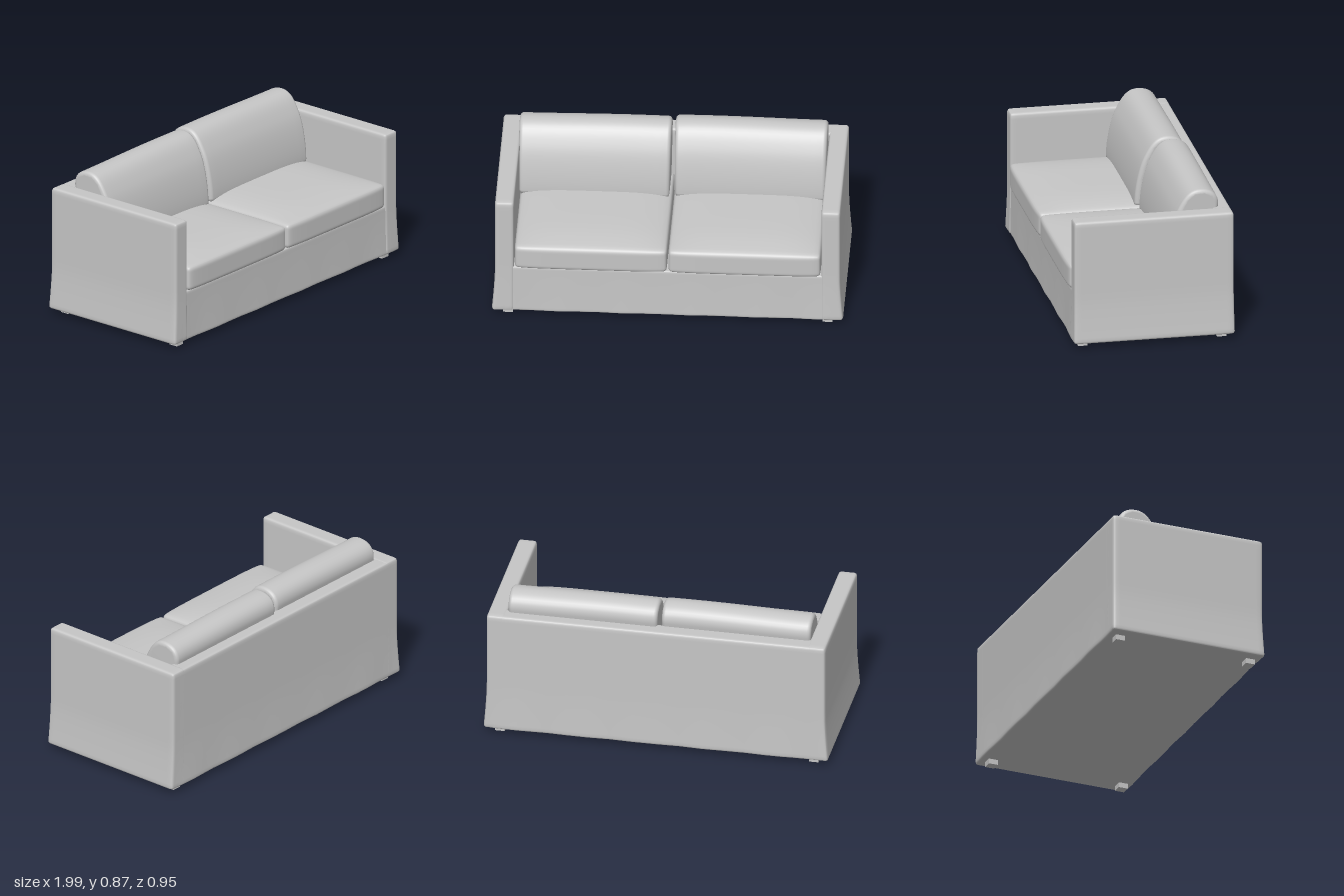
import * as THREE from 'three';
import { mergeVertices } from 'three/addons/utils/BufferGeometryUtils.js';

const fabric = new THREE.MeshStandardMaterial({ name: 'grey fabric', color: 0xc6c6c6 });

// Weld the vertices and smooth the normals.
function smooth(geometry) {
  geometry.deleteAttribute('normal');
  geometry.deleteAttribute('uv');
  const welded = mergeVertices(geometry, 1e-4);
  welded.computeVertexNormals();
  return welded;
}

// Box with rounded edges between two corners, then reshaped by a rule on each vertex.
function softBox(name, min, max, radius, rule) {
  const lo = new THREE.Vector3(...min), hi = new THREE.Vector3(...max);
  const half = hi.clone().sub(lo).multiplyScalar(0.5);
  const centre = lo.clone().add(half);
  const inner = half.clone().subScalar(radius);
  const geometry = new THREE.BoxGeometry(2, 2, 2, 22, 22, 22);
  const pos = geometry.attributes.position;
  const p = new THREE.Vector3(), core = new THREE.Vector3();
  const spread = (u) => Math.sin(u * Math.PI / 2); // more rows near the edges
  for (let i = 0; i < pos.count; i++) {
    p.fromBufferAttribute(pos, i);
    p.set(spread(p.x), spread(p.y), spread(p.z)).multiply(half);
    core.copy(p).clamp(inner.clone().negate(), inner);
    p.sub(core).setLength(radius).add(core).add(centre);
    if (rule) rule(p);
    pos.setXYZ(i, p.x, p.y, p.z);
  }
  const mesh = new THREE.Mesh(smooth(geometry), fabric);
  mesh.name = name;
  return mesh;
}

// Slipcover skirt: flares towards the floor with gentle folds.
function flare(p) {
  const f = Math.pow(THREE.MathUtils.clamp((0.3 - p.y) / 0.27, 0, 1), 1.4);
  const fold = 0.003 * f * Math.sin(p.x * 17 + p.z * 13);
  p.x += Math.sign(p.x) * f * (Math.abs(p.x) > 0.9 ? 0.018 : 0);
  p.z += Math.sign(p.z) * (0.006 * f + fold);
}

// Seat cushion: crowned top, slightly bulging front.
function seatCushion(side) {
  const x0 = side > 0 ? 0.004 : -0.868, x1 = side > 0 ? 0.868 : -0.004;
  return softBox('seatCushion', [x0, 0.32, -0.37], [x1, 0.465, 0.462], 0.025, (p) => {
    const u = (p.x - (x0 + x1) / 2) / 0.432, v = (p.z - 0.046) / 0.416;
    const dome = (1 - u ** 4) * (1 - v ** 4);
    if (p.y > 0.4) p.y += 0.03 * Math.max(0, dome);
    if (p.z > 0.4) p.z += 0.01 * (1 - u ** 6);
  });
}

// Leaning back cushion: side profile swept along x with rounded ends.
function backCushion(side) {
  const shape = new THREE.Shape();
  shape.moveTo(-0.10, 0.46);
  shape.bezierCurveTo(-0.095, 0.53, -0.12, 0.68, -0.155, 0.75);
  shape.bezierCurveTo(-0.19, 0.82, -0.22, 0.87, -0.285, 0.87);
  shape.bezierCurveTo(-0.33, 0.87, -0.395, 0.85, -0.39, 0.77);
  shape.lineTo(-0.35, 0.46);
  shape.closePath();
  const bevel = 0.022, width = 0.865;
  const geometry = new THREE.ExtrudeGeometry(shape, {
    depth: width - 2 * bevel, steps: 16, curveSegments: 10,
    bevelSize: bevel, bevelThickness: bevel, bevelOffset: -bevel, bevelSegments: 4,
  });
  geometry.translate(0, 0, bevel - width / 2);
  geometry.rotateY(-Math.PI / 2); // profile x becomes z, sweep runs along x
  const pos = geometry.attributes.position;
  for (let i = 0; i < pos.count; i++) {
    const u = pos.getX(i) / (width / 2);
    const k = (pos.getY(i) - 0.46) / 0.41;
    pos.setX(i, pos.getX(i) * (0.985 + 0.015 * k));
    pos.setY(i, pos.getY(i) + 0.004 * k * Math.cos(u * 2 + side));
  }
  const mesh = new THREE.Mesh(smooth(geometry), fabric);
  mesh.name = 'backCushion';
  mesh.position.set(side > 0 ? 0.437 : -0.447, 0, side > 0 ? -0.008 : 0.008);
  return mesh;
}

export function createModel() {
  const sofa = new THREE.Group();
  sofa.name = 'sofa';

  // Frame
  sofa.add(softBox('base', [-0.94, 0.03, -0.44], [0.94, 0.325, 0.452], 0.012, flare));
  sofa.add(softBox('backrest', [-0.955, 0.03, -0.465], [0.955, 0.755, -0.36], 0.016, flare));

  for (const side of [-1, 1]) {
    const a = side * 0.872, b = side * 0.98;
    sofa.add(softBox('arm', [Math.min(a, b), 0.03, -0.465], [Math.max(a, b), 0.757, 0.457], 0.018, flare));
    sofa.add(seatCushion(side), backCushion(side));

    // Feet
    for (const z of [0.4, -0.402]) {
      const foot = new THREE.Mesh(new THREE.BoxGeometry(0.055, 0.04, 0.055), fabric);
      foot.name = 'foot';
      foot.position.set(side * 0.907, 0.02, z);
      sofa.add(foot);
    }
  }
  return sofa;
}
